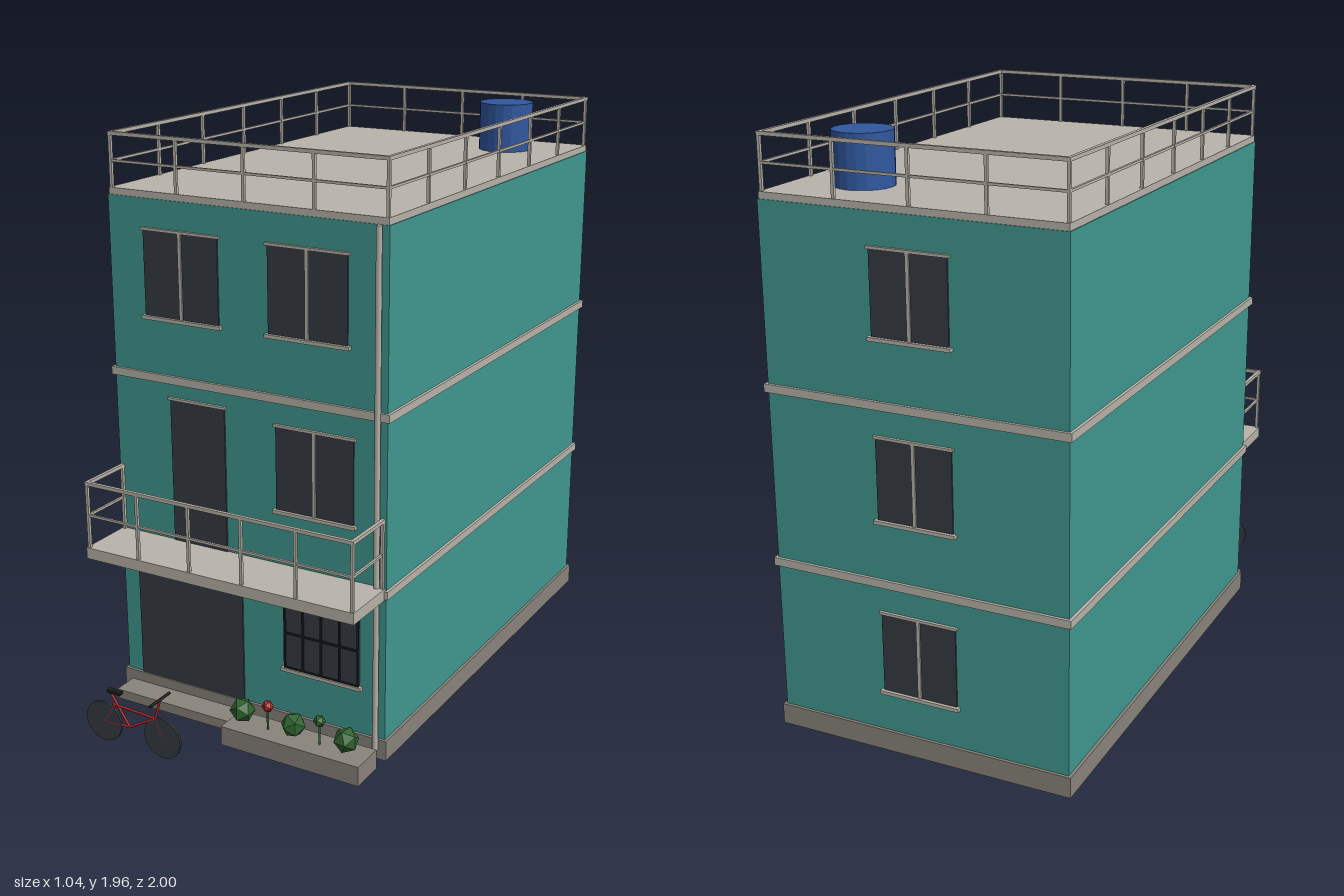
import * as THREE from 'three';

const mat = (name, color) => {
  const m = new THREE.MeshStandardMaterial({ color });
  m.name = name;
  return m;
};

export function createModel() {
  const teal = mat('teal wall', 0x40988f);
  const trim = mat('pale trim', 0xb8b3aa);
  const stone = mat('stone', 0x89837b);
  const dark = mat('dark glass', 0x363b42);
  const black = mat('black metal', 0x1b1c1e);
  const blue = mat('blue tank', 0x3058a0);
  const green = mat('leaf green', 0x2f6330);
  const red = mat('red', 0xa8282a);

  const root = new THREE.Group();
  root.name = 'townHouse';
  const group = (name, parent = root) => {
    const g = new THREE.Group();
    g.name = name;
    parent.add(g);
    return g;
  };
  const add = (name, geo, material, parent = root) => {
    const m = new THREE.Mesh(geo, material);
    m.name = name;
    parent.add(m);
    return m;
  };
  // Box given by its limits on each axis
  const box = (name, material, [x0, x1], [y0, y1], [z0, z1], parent) => {
    const m = add(name, new THREE.BoxGeometry(x1 - x0, y1 - y0, z1 - z0), material, parent);
    m.position.set((x0 + x1) / 2, (y0 + y1) / 2, (z0 + z1) / 2);
    return m;
  };
  // Round bar between two points
  const bar = (name, material, a, b, r, parent) => {
    const p = new THREE.Vector3(...a), q = new THREE.Vector3(...b);
    const d = q.clone().sub(p);
    const m = add(name, new THREE.CylinderGeometry(r, r, d.length(), 8), material, parent);
    m.position.copy(p).add(q).multiplyScalar(0.5);
    m.quaternion.setFromUnitVectors(new THREE.Vector3(0, 1, 0), d.normalize());
    return m;
  };

  // Main block, plinth, floor bands and roof slab
  const F = 0.6, B = -0.98;
  box('walls', teal, [-0.51, 0.51], [0.01, 1.755], [B, F]);
  box('plinth', stone, [-0.52, 0.52], [0, 0.07], [B - 0.01, F + 0.01]);
  for (const y of [0.57, 1.153]) {
    box('floorBand', trim, [-0.52, 0.52], [y, y + 0.027], [B - 0.01, F + 0.01]);
  }
  box('roofSlab', trim, [-0.507, 0.507], [1.75, 1.777], [B + 0.003, F - 0.003]);
  bar('drainpipe', trim, [0.48, 0.03, F + 0.01], [0.48, 1.755, F + 0.01], 0.01);

  // Windows and doors: a dark pane with trim, on the front or the back
  function opening(name, [x0, x1], [y0, y1], { back = false, sill = true, lintel = true, mullion = true } = {}) {
    const g = group(name);
    const z = (a, b) => (back ? [B - b, B - a] : [F + a, F + b]);
    const mid = (x0 + x1) / 2;
    box('pane', dark, [x0, x1], [y0, y1], z(-0.002, 0.005), g);
    if (mullion) box('mullion', trim, [mid - 0.006, mid + 0.006], [y0, y1], z(0, 0.009), g);
    if (sill) box('sill', trim, [x0 - 0.01, x1 + 0.01], [y0 - 0.008, y0 + 0.004], z(0, 0.016), g);
    if (lintel) box('lintel', trim, [x0 - 0.007, x1 + 0.007], [y1 - 0.002, y1 + 0.007], z(0, 0.01), g);
    return g;
  }
  opening('upperWindow', [-0.375, -0.093], [1.37, 1.655]);
  opening('upperWindow', [0.09, 0.372], [1.37, 1.655]);
  opening('middleWindow', [0.112, 0.394], [0.79, 1.075]);
  opening('balconyDoor', [-0.29, -0.08], [0.6, 1.1], { sill: false, mullion: false });
  opening('garageDoor', [-0.447, -0.025], [0.07, 0.52], { sill: false, lintel: false, mullion: false });
  for (const y of [0.21, 0.793, 1.376]) opening('backWindow', [-0.13, 0.13], [y, y + 0.27], { back: true });

  // Ground floor window with security bars
  const barred = opening('barredWindow', [0.137, 0.417], [0.235, 0.495], { mullion: false, lintel: false });
  for (let i = 0; i < 5; i++) {
    const x = 0.14 + i * 0.0685;
    box('windowBar', black, [x - 0.003, x + 0.003], [0.235, 0.495], [F + 0.004, F + 0.011], barred);
  }
  for (const y of [0.24, 0.366, 0.492]) {
    box('windowBar', black, [0.137, 0.417], [y - 0.003, y + 0.003], [F + 0.004, F + 0.011], barred);
  }

  // Straight railing run: posts, thin middle rail and top rail
  function railing(parent, [xa, za], [xb, zb], y0, y1, bays) {
    const t = 0.006;
    const span = (a, b, r) => [Math.min(a, b) - r, Math.max(a, b) + r];
    box('topRail', trim, span(xa, xb, t), [y1 - 0.012, y1], span(za, zb, t), parent);
    const ym = (y0 + y1) / 2;
    box('middleRail', trim, span(xa, xb, 0.004), [ym - 0.004, ym + 0.004], span(za, zb, 0.004), parent);
    for (let i = 0; i <= bays; i++) {
      const x = xa + ((xb - xa) * i) / bays, z = za + ((zb - za) * i) / bays;
      box('post', trim, [x - 0.005, x + 0.005], [y0, y1 - 0.006], [z - 0.005, z + 0.005], parent);
    }
  }
  const roofRail = group('roofRailing');
  for (const z of [F - 0.01, B + 0.012]) railing(roofRail, [-0.5, z], [0.5, z], 1.77, 1.955, 4);
  for (const x of [-0.5, 0.5]) railing(roofRail, [x, B + 0.012], [x, F - 0.01], 1.77, 1.955, 6);

  // Balcony
  const balcony = group('balcony');
  box('balconySlab', trim, [-0.507, 0.507], [0.565, 0.604], [F, 0.805], balcony);
  railing(balcony, [-0.498, 0.797], [0.498, 0.797], 0.6, 0.837, 5);
  for (const x of [-0.498, 0.498]) railing(balcony, [x, F + 0.006], [x, 0.797], 0.6, 0.837, 1);

  // Water tank
  const tank = add('waterTank', new THREE.CylinderGeometry(0.096, 0.096, 0.172, 20).toNonIndexed(), blue);
  tank.geometry.computeVertexNormals();
  tank.position.set(0.276, 1.861, -0.755);

  // Entrance step and planter with bushes and flowers
  box('entranceStep', stone, [-0.49, 0.01], [0, 0.034], [F, 0.7]);
  const planter = group('planter');
  box('planterBox', stone, [0, 0.515], [0, 0.068], [0.665, 0.787], planter);
  const ball = (name, material, x, y, r) => {
    const m = add(name, new THREE.IcosahedronGeometry(r, 0), material, planter);
    m.position.set(x, y, 0.725);
    return m;
  };
  [0.046, 0.241, 0.437].forEach((x, i) => {
    ball('bush', green, x, 0.112, 0.043).rotation.y = i * 0.7;
  });
  [[0.144, red], [0.339, green]].forEach(([x, m]) => {
    bar('flowerStem', green, [x, 0.06, 0.725], [x, 0.15, 0.725], 0.004, planter);
    ball('flower', m, x, 0.152, 0.021);
  });

  // Bicycle parked in front of the garage
  const bike = group('bicycle');
  const Z = 0.946;
  for (const x of [-0.353, -0.119]) {
    const w = add('wheel', new THREE.CylinderGeometry(0.071, 0.071, 0.008, 24), dark, bike);
    w.rotation.x = Math.PI / 2;
    w.position.set(x, 0.071, Z);
  }
  const tubes = [
    [[-0.353, 0.071], [-0.305, 0.142]], [[-0.353, 0.071], [-0.25, 0.075]],
    [[-0.325, 0.185], [-0.25, 0.075]], [[-0.315, 0.142], [-0.145, 0.135]],
    [[-0.25, 0.075], [-0.145, 0.135]], [[-0.119, 0.071], [-0.145, 0.135]],
    [[-0.145, 0.135], [-0.125, 0.208]],
  ];
  for (const [a, b] of tubes) bar('frameTube', red, [...a, Z], [...b, Z], 0.0045, bike);
  box('saddle', black, [-0.332, -0.28], [0.183, 0.194], [Z - 0.009, Z + 0.009], bike);
  bar('handlebar', black, [-0.125, 0.208, Z - 0.054], [-0.125, 0.208, Z + 0.054], 0.005, bike);

  return root;
}
